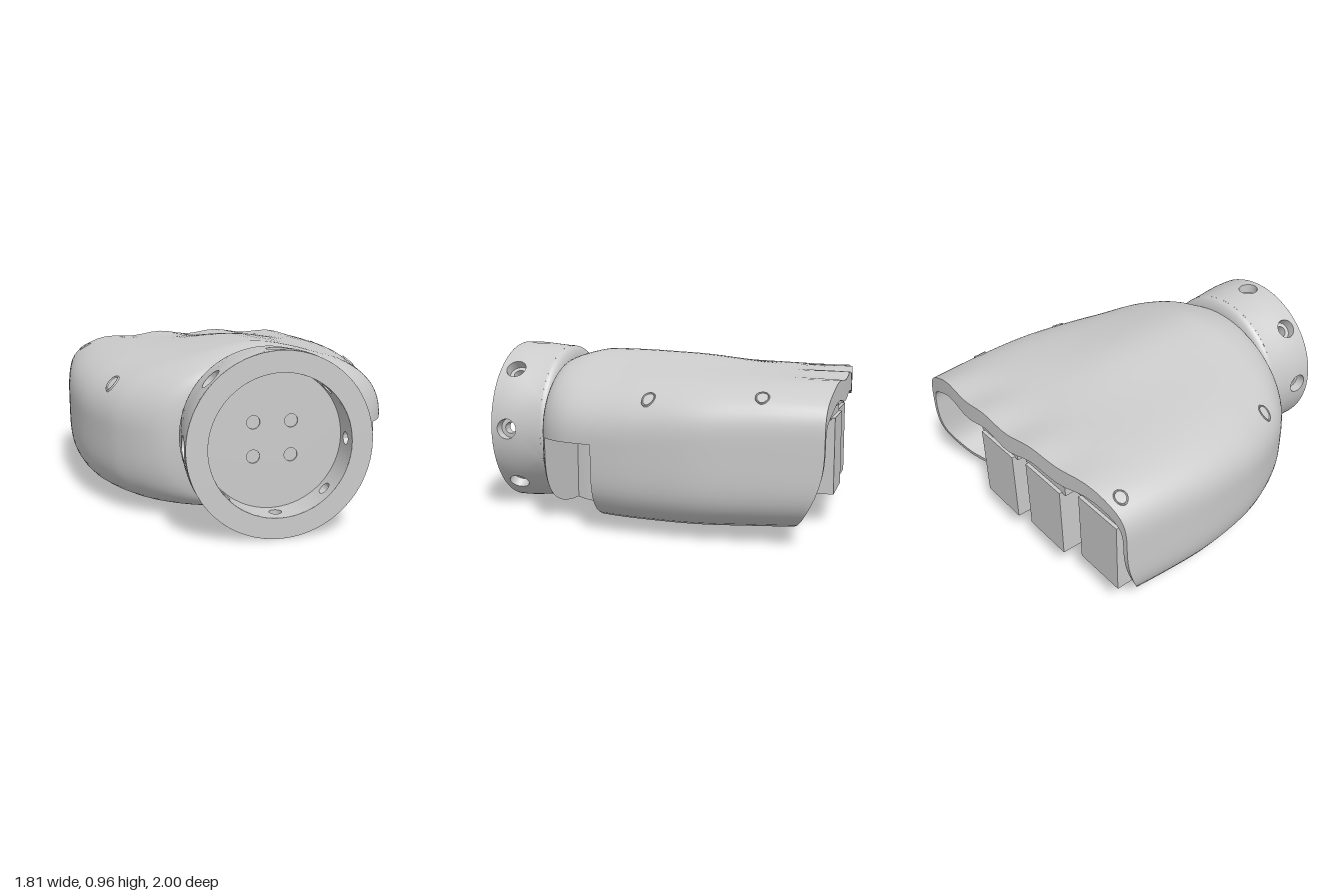
import * as THREE from 'three';
import { mergeGeometries, toCreasedNormals } from 'three/addons/utils/BufferGeometryUtils.js';

const mat = new THREE.MeshStandardMaterial({ color: 0xcccccc, side: THREE.DoubleSide });
const TAU = Math.PI * 2, SEG = 96, CUT = 19, MID = 0.48;
const WX = 0.06, WY = 0.485; // wrist axis
const lerp = THREE.MathUtils.lerp, smooth = THREE.MathUtils.smoothstep;

// Hull stations: z, right edge, left edge, bottom, top, upper and lower squareness
const stations = [
  [0.67, -0.38, 0.50, 0.10, 0.87, 2.0, 2.0],
  [0.64, -0.48, 0.60, 0.075, 0.88, 2.1, 2.7],
  [0.58, -0.57, 0.71, 0.055, 0.89, 2.2, 3.4],
  [0.50, -0.65, 0.78, 0.042, 0.89, 2.3, 3.8],
  [0.40, -0.725, 0.825, 0.035, 0.885, 2.4, 4.1],
  [0.20, -0.815, 0.865, 0.028, 0.88, 2.5, 4.4],
  [0.00, -0.87, 0.89, 0.025, 0.87, 2.8, 4.5],
  [-0.30, -0.905, 0.905, 0.025, 0.855, 3.3, 4.5],
  [-0.60, -0.90, 0.88, 0.035, 0.84, 3.8, 4.5],
  [-1.00, -0.87, 0.835, 0.05, 0.82, 4.4, 4.5],
];

// Smooth interpolation of the stations along z
function station(z) {
  const S = stations, last = S.length - 1;
  let i = 0;
  while (i < last - 1 && z < S[i + 1][0]) i++;
  const h = S[i + 1][0] - S[i][0], t = THREE.MathUtils.clamp((z - S[i][0]) / h, 0, 1);
  const slope = (k, c) => {
    const a = S[Math.max(k - 1, 0)], b = S[Math.min(k + 1, last)];
    return (b[c] - a[c]) / (b[0] - a[0]);
  };
  return S[i].map((p, c) => {
    const q = S[i + 1][c], t2 = t * t, t3 = t2 * t;
    return (2 * t3 - 3 * t2 + 1) * p + (3 * t2 - 2 * t3) * q
      + (t3 - 2 * t2 + t) * h * slope(i, c) + (t3 - t2) * h * slope(i + 1, c);
  });
}

// Point of the hull cross-section at angle a; inset > 0 gives the inner skin
function section(a, z, inset = 0) {
  const [, xl, xr, yb, yt, nt, nb] = station(z);
  const c = Math.cos(a), s = Math.sin(a), up = s > 1e-9, n = up ? nt : nb;
  const r = Math.pow(Math.abs(c) ** n + Math.abs(s) ** n, -1 / n);
  const back = smooth(-z, 0.6, 1);
  const hw = (xr - xl) / 2 - inset;
  const hh = up ? yt - MID - inset * (1 + 2.6 * back) : MID - yb - inset;
  const x = (xl + xr) / 2 + r * c * hw;
  let y = MID + r * s * hh;
  if (up) {
    // crown ridge behind the wrist, knuckle scallops along the rear lip
    const crown = 0.048 * smooth(z, -0.8, -0.05) * (1 - smooth(z, 0.4, 0.66));
    y += crown * s * Math.exp(-(((x - WX) / 0.3) ** 2));
    y += 0.012 * back * s * Math.cos((x - 0.15) * TAU / 0.4) * (inset ? 1.5 : 1);
  }
  return new THREE.Vector3(x, y, z);
}

// Rear edge: bowed along the top, cut back and gently waved along the bottom
const rearTop = x => -1 + 0.11 * (x - 0.25) ** 2;
function rearEdge(a) {
  const p = section(a, -0.95), low = Math.max(0, (0.55 - p.y) / 0.5) ** 2.8;
  return rearTop(p.x) + low * (0.24 + 0.02 * Math.cos((p.x - 0.15) * TAU / 0.4));
}

// Height of the upper hull over (x, z)
function topY(x, z) {
  let lo = 0, hi = Math.PI;
  for (let k = 0; k < 30; k++) {
    const m = (lo + hi) / 2;
    if (section(m, z).x > x) lo = m; else hi = m;
  }
  return section(lo, z).y;
}

// Surface from a rule, nu by nv quads, with optional skipped quads
function grid(nu, nv, fn, skip = () => false) {
  const pos = [], idx = [];
  for (let j = 0; j <= nv; j++) for (let i = 0; i <= nu; i++) pos.push(...fn(i, j).toArray());
  for (let j = 0; j < nv; j++) for (let i = 0; i < nu; i++) {
    if (skip(i, j)) continue;
    const a = j * (nu + 1) + i, b = a + nu + 1;
    idx.push(a, a + 1, b, a + 1, b + 1, b);
  }
  const g = new THREE.BufferGeometry();
  g.setAttribute('position', new THREE.Float32BufferAttribute(pos, 3));
  g.setIndex(idx);
  return g;
}

function add(parent, name, geo, x = 0, y = 0, z = 0) {
  const m = new THREE.Mesh(geo, mat);
  m.name = name;
  m.position.set(x, y, z);
  parent.add(m);
}
const creased = (geos, angle = 0.6) => toCreasedNormals(mergeGeometries(geos), angle);

// Rows: front cap, thumb opening band, then the rest back to the rear edge
const F0 = 0.67, F1 = 0.57, F2 = 0.245, R1 = 8, R2 = 20, ROWS = 60;
function rowZ(a, j) {
  if (j <= R1) return lerp(F0, F1, j / R1);
  if (j <= R2) return lerp(F1, F2, (j - R1) / (R2 - R1));
  return lerp(F2, rearEdge(a), (j - R2) / (ROWS - R2));
}
const ang = i => TAU * (i % SEG) / SEG;

function hull() {
  const g = new THREE.Group(), T = 0.03;
  g.name = 'palmHull';
  const inCut = (i, j) => i >= SEG - CUT && j >= R1 && j < R2;
  const outer = grid(SEG, ROWS, (i, j) => section(ang(i), rowZ(ang(i), j)), inCut);
  const inner = grid(SEG, ROWS - R1, (i, j) => section(ang(i), rowZ(ang(i), j + R1), T),
    (i, j) => inCut(i, j + R1));
  const rim = grid(SEG, 1, (i, j) => section(ang(i), rearEdge(ang(i)), j * T));
  const bulkhead = grid(SEG, 1, (i, j) => j ? new THREE.Vector3(0.06, MID, F1) : section(ang(i), F1, T));
  add(g, 'outerShell', toCreasedNormals(outer, 0.7));
  add(g, 'innerShell', toCreasedNormals(inner, 0.7));
  add(g, 'rearRim', toCreasedNormals(rim, 0.5));
  add(g, 'frontBulkhead', toCreasedNormals(bulkhead, 0.5));

  // Thumb opening: two end walls, upright inner wall and ceiling
  const low = ang(SEG - CUT), zAt = j => lerp(F1, F2, j / 6);
  const core = z => new THREE.Vector3(section(low, z).x, MID, z);
  const endWall = z => grid(CUT, 1, (i, j) => j ? core(z) : section(ang(SEG - CUT + i), z));
  const wall = a => grid(1, 6, (i, j) => i ? core(zAt(j)) : section(a, zAt(j)));
  add(g, 'thumbRecess', creased([endWall(F1), endWall(F2), wall(low), wall(0)], 0.4));
  return g;
}

// Wrist collar: eight bent patches, each around one countersunk radial hole
function collar() {
  const g = new THREE.Group();
  g.name = 'wristCollar';
  const HZ = 0.905, RI = 0.37, N = 32;
  const RO = z => lerp(0.46, 0.48, smooth(z, 0.68, 0.95));
  // rows: hole radius (0 = patch border) and depth (0 = outer, 1 = inner face)
  const rows = [[0, 1], [0.033, 1], [0.033, 0.5], [0.058, 0.5], [0.058, 0], [0, 0]];
  const patches = [];
  for (let k = 0; k < 8; k++) {
    patches.push(grid(N, 5 * 4, (i, j) => {
      const r = Math.min(Math.floor(j / 4), 4), f = (j - r * 4) / 4, a = TAU * (i % N) / N;
      const c = Math.cos(a), s = Math.sin(a), m = Math.max(Math.abs(c), Math.abs(s));
      const at = ([rad, d]) => rad ? [rad * c / lerp(0.478, RI, d), HZ + rad * s, d]
        : [c / m * Math.PI / 8, HZ + s / m * (s > 0 ? 0.095 : 0.205), d];
      const p = at(rows[r]), q = at(rows[r + 1]);
      const [t, z, d] = p.map((v, n) => lerp(v, q[n], f));
      const R = lerp(RO(z), RI, d), th = t + k * TAU / 8;
      return new THREE.Vector3(R * Math.cos(th), R * Math.sin(th), z);
    }));
  }
  add(g, 'collarWall', creased(patches), WX, WY);
  add(g, 'collarFace', new THREE.RingGeometry(RI, 0.48, 64), WX, WY, 1);
  // rounded neck behind the collar
  const neck = new THREE.LatheGeometry([[0.46, 0.70], [0.457, 0.685], [0.44, 0.667], [0.40, 0.655], [0, 0.655]]
    .map(p => new THREE.Vector2(...p)), 64).rotateX(Math.PI / 2);
  add(g, 'collarNeck', toCreasedNormals(neck, 0.8), WX, WY);
  // recessed floor with four shallow screw holes
  const disc = new THREE.Shape().absarc(0, 0, RI + 0.005, 0, TAU);
  for (const sx of [-1, 1]) for (const sy of [-1, 1])
    disc.holes.push(new THREE.Path().absarc(sx * 0.1, sy * 0.09, 0.035, 0, TAU));
  const floor = new THREE.ExtrudeGeometry(disc, { depth: 0.008, bevelEnabled: false, curveSegments: 32 });
  add(g, 'collarFloor', floor, WX, WY, 0.825);
  add(g, 'collarFloorBacking', new THREE.CircleGeometry(RI, 48), WX, WY, 0.826);
  return g;
}

// Screw seats following the upper shell, round when seen from above
function screws() {
  const g = new THREE.Group();
  g.name = 'shellScrews';
  const rows = [[0.037, 0], [0.035, 0.005], [0.031, 0.005], [0.028, 0.001], [0, 0.001]];
  for (const [x, z] of [[-0.775, -0.81], [0.785, -0.645], [0.805, -0.06], [-0.695, 0.28]]) {
    const seat = grid(28, rows.length - 1, (i, j) => {
      const a = TAU * (i % 28) / 28, [r, lift] = rows[j];
      const px = x + r * Math.cos(a), pz = z + r * Math.sin(a);
      return new THREE.Vector3(px + Math.sign(x) * lift, topY(px, pz) + lift, pz);
    });
    add(g, 'screwSeat', toCreasedNormals(seat, 0.5));
  }
  return g;
}

// Finger motors standing side by side in the rear opening
function motors() {
  const g = new THREE.Group();
  g.name = 'fingerMotors';
  for (const x of [0.15, -0.25, -0.64]) {
    const m = new THREE.Group(), z = rearTop(x) + 0.055;
    m.name = 'motor';
    m.position.set(x, 0, z);
    add(m, 'motorCase', new THREE.BoxGeometry(0.31, 0.42, 0.55), 0, 0.385, 0.275);
    add(m, 'motorFlange', new THREE.BoxGeometry(0.36, 0.05, 0.5), 0, 0.61, 0.27);
    for (const sx of [-1, 1]) {
      add(m, 'flangeBoss', new THREE.CylinderGeometry(0.04, 0.04, 0.03, 20), sx * 0.08, 0.645, 0.08);
      add(m, 'mountPost', new THREE.BoxGeometry(0.04, 0.42, 0.12), sx * 0.17, 0.385, 0.2);
    }
    g.add(m);
  }
  add(g, 'motorTray', new THREE.BoxGeometry(1.05, 0.08, 0.55), -0.2, 0.14, -0.42);
  add(g, 'sidePanel', new THREE.BoxGeometry(0.03, 0.5, 0.5), 0.62, 0.4, -0.35);
  add(g, 'sideShelf', new THREE.BoxGeometry(0.2, 0.03, 0.4), 0.7, 0.62, -0.4);
  add(g, 'innerWall', new THREE.BoxGeometry(1.4, 0.6, 0.03), 0, 0.41, -0.1);
  return g;
}

export function createModel() {
  const model = new THREE.Group();
  model.name = 'roboticPalm';
  model.add(hull(), collar(), screws(), motors());
  return model;
}
